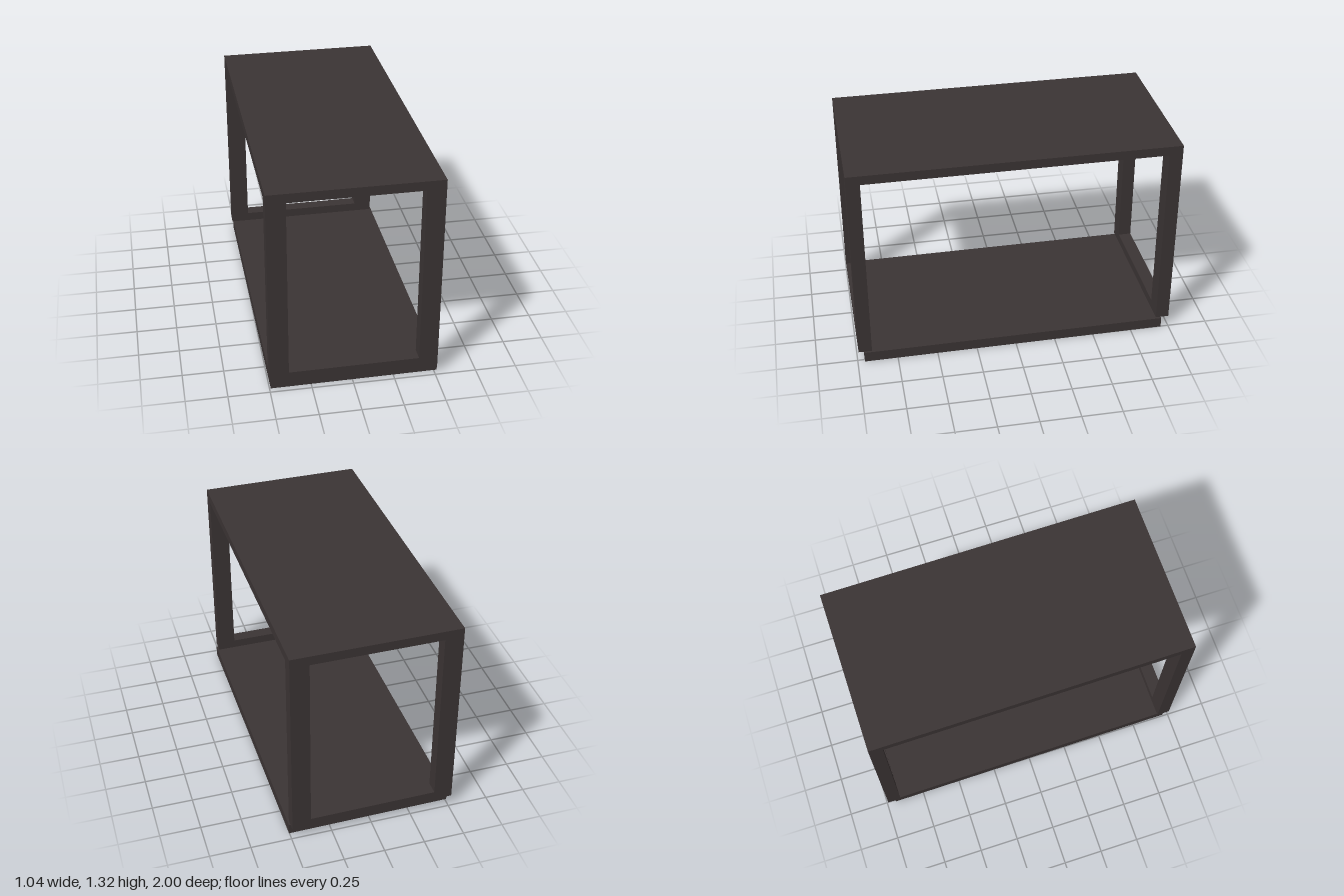
import * as THREE from 'three';

export function createModel() {
  const darkWood = new THREE.MeshStandardMaterial({ color: 0x3b3434 });
  const width = 1.012, length = 1.991;        // upper frame footprint
  const bottom = 0.071, top = 1.321, rail = 0.057;
  const postWidth = 0.114, postDepth = 0.083;
  const twist = 0.009;                        // both pieces sit slightly turned

  function box(parent, name, size, position) {
    const mesh = new THREE.Mesh(new THREE.BoxGeometry(...size), darkWood);
    mesh.name = name;
    mesh.position.set(...position);
    parent.add(mesh);
  }

  const model = new THREE.Group();
  model.name = 'openFrameTable';

  // Upper frame: top slab carried by a U-shaped frame at each end
  const frame = new THREE.Group();
  frame.name = 'upperFrame';
  frame.position.x = -0.004;
  frame.rotation.y = twist;
  model.add(frame);

  box(frame, 'topSlab', [width, rail, length], [0, top - rail / 2, 0]);

  const postHeight = top - rail - bottom;
  for (const end of [1, -1]) {
    const prefix = end > 0 ? 'front' : 'back';
    const z = end * (length - postDepth) / 2;
    for (const side of [1, -1]) {
      box(frame, prefix + (side > 0 ? 'LeftPost' : 'RightPost'),
        [postWidth, postHeight, postDepth],
        [side * (width - postWidth) / 2, bottom + postHeight / 2, z]);
    }
    box(frame, prefix + 'BottomRail',
      [width - 2 * postWidth, rail, postDepth], [0, bottom + rail / 2, z]);
  }

  // Separate base slab, a little shorter than the frame
  const base = new THREE.Group();
  base.name = 'base';
  base.position.set(0.005, 0, 0.007);
  base.rotation.y = twist;
  model.add(base);
  box(base, 'baseSlab', [width, 0.067, 1.907], [0, 0.0335, 0]);

  return model;
}
